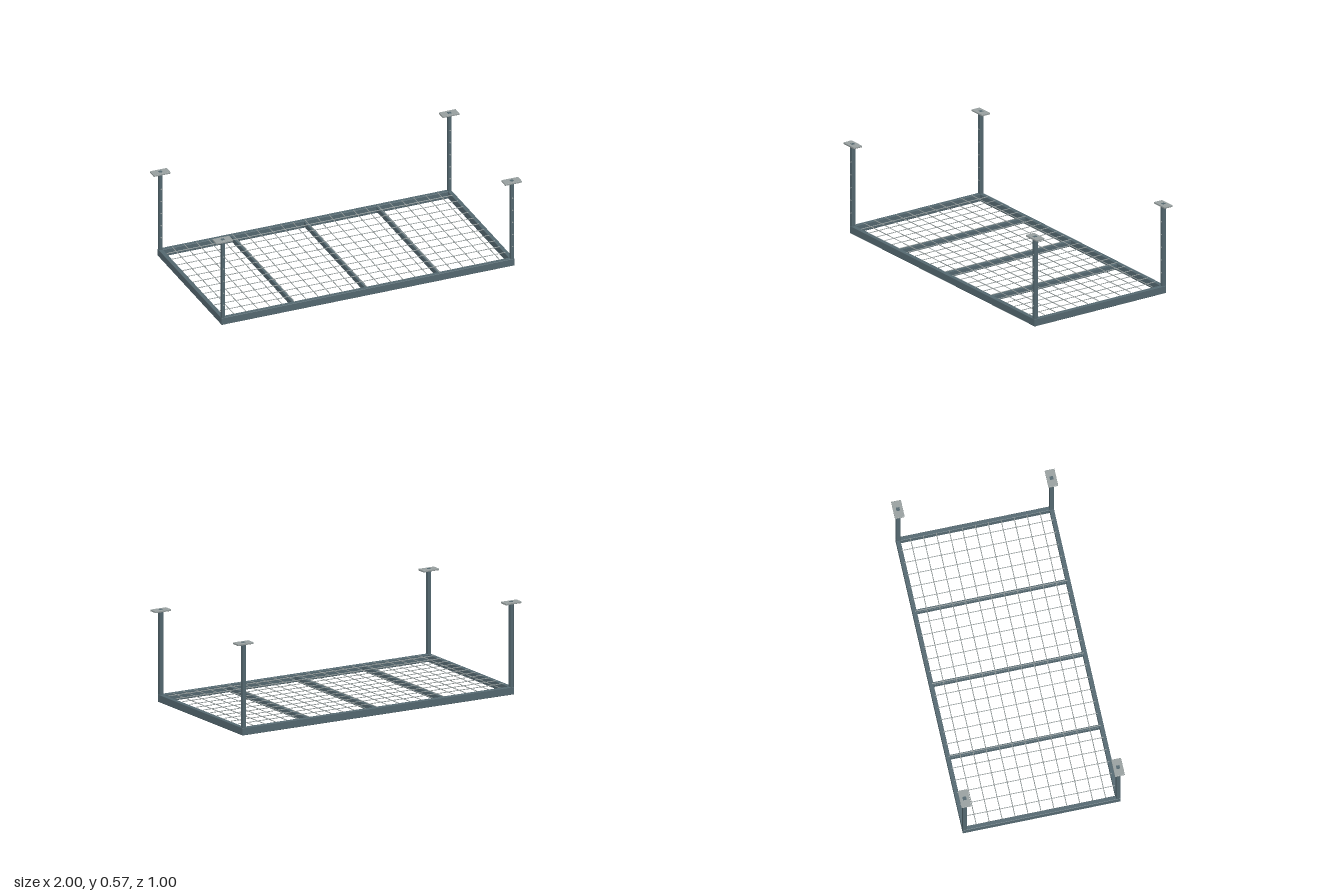
import * as THREE from 'three';
import { RoundedBoxGeometry } from 'three/addons/geometries/RoundedBoxGeometry.js';

export function createModel() {
  const rack = new THREE.Group();
  rack.name = 'hangingRack';

  const steel = new THREE.MeshStandardMaterial({ color: 0x546870 });
  steel.name = 'blue grey steel';
  const zinc = new THREE.MeshStandardMaterial({ color: 0x98a0a0 });
  zinc.name = 'zinc grey';

  const add = (name, geometry, material, x, y, z) => {
    const mesh = new THREE.Mesh(geometry, material);
    mesh.name = name;
    mesh.position.set(x, y, z);
    rack.add(mesh);
    return mesh;
  };
  const bar = (w, h, d, r = 0.003) => new RoundedBoxGeometry(w, h, d, 2, r);

  // Outer frame
  for (const s of [-1, 1]) {
    add('longRail', bar(1.916, 0.047, 0.027), steel, 0, 0.0235, s * 0.4715);
    add('endRail', bar(0.026, 0.047, 0.97), steel, s * 0.945, 0.0235, 0);
  }

  // Cross bars under the deck
  for (const x of [-0.475, 0, 0.475]) {
    add('crossBar', bar(0.02, 0.034, 0.925, 0.002), steel, x, 0.025, 0);
  }

  // Wire deck: short wires lie on the rails, long wires lie on the short ones
  const shortWire = new THREE.CylinderGeometry(0.0025, 0.0025, 0.935, 8).rotateX(Math.PI / 2);
  const longWire = new THREE.CylinderGeometry(0.0025, 0.0025, 1.87, 8).rotateZ(Math.PI / 2);
  for (let i = -11; i <= 11; i++) add('shortWire', shortWire, zinc, i * 0.079, 0.0475, 0);
  for (let i = -5; i <= 5; i++) add('longWire', longWire, zinc, 0, 0.0515, i * 0.0795);

  // Corner posts with ceiling plates and adjustment studs
  const post = bar(0.022, 0.537, 0.025, 0.002);
  const plate = bar(0.11, 0.011, 0.06, 0.002);
  const postEnd = new THREE.BoxGeometry(0.022, 0.004, 0.022);
  const stud = new THREE.CylinderGeometry(0.004, 0.004, 0.004, 12).rotateX(Math.PI / 2);
  for (const sx of [-1, 1]) {
    for (const sz of [-1, 1]) {
      const x = sx * 0.945, z = sz * 0.4715;
      add('post', post, steel, x, 0.3035, z);
      add('ceilingPlate', plate, zinc, x, 0.5685, z);
      add('postEnd', postEnd, steel, x, 0.5725, z);
      for (let i = 0; i < 5; i++) {
        add('stud', stud, zinc, x, 0.132 + i * 0.082, z + 0.0135);
      }
    }
  }
  return rack;
}
